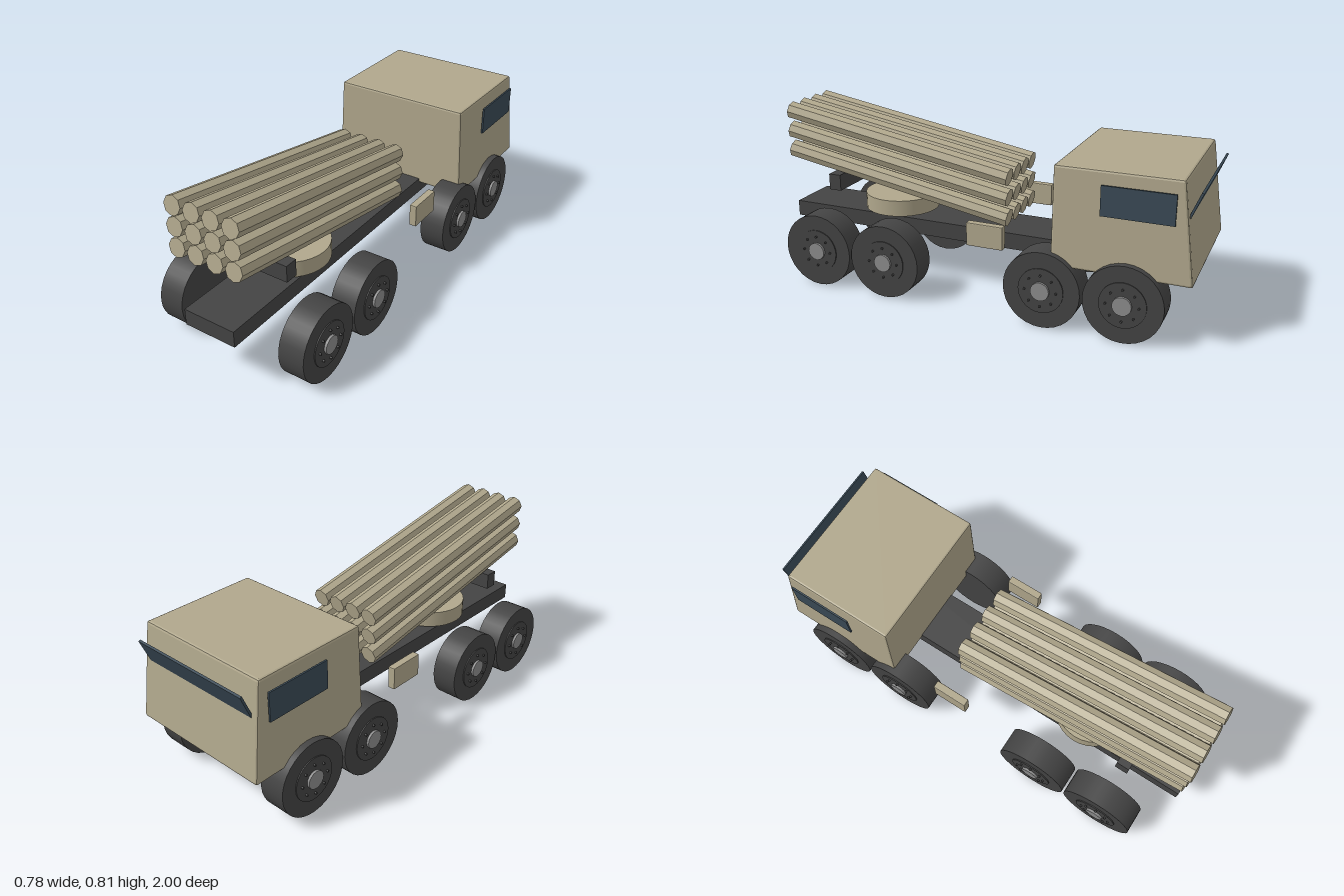
import * as THREE from 'three';
import { RoundedBoxGeometry } from 'three/addons/geometries/RoundedBoxGeometry.js';

const mat = (color, flatShading = false) => {
  const m = new THREE.MeshStandardMaterial({ color });
  m.flatShading = flatShading;
  return m;
};

export function createModel() {
  const model = new THREE.Group();
  model.name = 'rocketTruck';
  const tan = mat(0xb0a78c), tanFlat = mat(0xb0a78c, true);
  const dark = mat(0x444444), glass = mat(0x3a4a56), metal = mat(0x8c8c8c);

  const add = (name, geo, material, x, y, z, parent = model) => {
    const mesh = new THREE.Mesh(geo, material);
    mesh.name = name;
    mesh.position.set(x, y, z);
    parent.add(mesh);
    return mesh;
  };
  const box = (w, h, d) => new THREE.BoxGeometry(w, h, d);
  // cylinder lying along x
  const disc = (r, w, n = 32) => new THREE.CylinderGeometry(r, r, w, n).rotateZ(-Math.PI / 2);

  // chassis beam
  add('chassis', box(0.25, 0.075, 1.85), dark, 0, 0.2625, 0.075);

  // cab: soft-edged box, narrower at the top, with a raked nose
  const H = 0.432, D = 0.59;
  const cabGeo = new RoundedBoxGeometry(0.69, H, D, 1, 0.01);
  const p = cabGeo.attributes.position;
  for (let i = 0; i < p.count; i++) {
    const up = p.getY(i) / H + 0.5;
    const nose = 0.5 - p.getZ(i) / D;
    p.setX(i, p.getX(i) * (1 - 0.05 * up));
    p.setZ(i, p.getZ(i) + 0.06 * up * nose);
  }
  cabGeo.computeVertexNormals();
  add('cab', cabGeo, tanFlat, 0, 0.494, -0.695);

  // windows: the windscreen leans out at its upper edge
  const screen = add('windscreen', box(0.6, 0.13, 0.01), glass, 0, 0.597, -0.967);
  screen.rotation.x = -0.39;
  for (const s of [1, -1]) {
    add('sideWindow', box(0.008, 0.128, 0.3), glass, s * 0.346, 0.591, -0.755);
    add('sideLocker', new RoundedBoxGeometry(0.035, 0.105, 0.168, 1, 0.004), tanFlat,
      s * 0.3125, 0.3525, -0.096);
  }

  // four axles of wheels, built facing +x and turned for the other side
  for (const z of [0.728, 0.378, -0.372, -0.722]) {
    for (const s of [1, -1]) {
      const wheel = new THREE.Group();
      wheel.name = 'wheel';
      wheel.position.set(s * 0.3125, 0.17, z);
      if (s < 0) wheel.rotation.y = Math.PI;
      model.add(wheel);
      add('tyre', disc(0.17, 0.12), dark, 0, 0, 0, wheel);
      add('rim', disc(0.1, 0.02), dark, 0.055, 0, 0, wheel);
      add('hub', disc(0.041, 0.03, 16), metal, 0.061, 0, 0, wheel);
      for (let i = 0; i < 8; i++) {
        const a = i * Math.PI / 4;
        add('wheelNut', disc(0.005, 0.012, 6), dark,
          0.068, 0.07 * Math.sin(a), 0.07 * Math.cos(a), wheel);
      }
    }
  }

  // turntable and front support of the launcher
  add('turntable', new THREE.CylinderGeometry(0.175, 0.175, 0.075, 32), tan, 0, 0.3505, 0.477);
  add('launcherSupport', box(0.4, 0.076, 0.06), dark, 0, 0.4515, 0.728);

  // launch tubes, four columns by three rows, muzzles raised
  const launcher = new THREE.Group();
  launcher.name = 'launcher';
  model.add(launcher);
  const tubeGeo = new THREE.CylinderGeometry(0.042, 0.042, 1.137, 8).rotateX(Math.PI / 2);
  for (let row = 0; row < 3; row++) {
    for (let col = 0; col < 4; col++) {
      const tube = add('launchTube', tubeGeo, tanFlat,
        (col - 1.5) * 0.0935, 0.478 + row * 0.094, 0.425, launcher);
      tube.rotation.x = -Math.PI / 18;
    }
  }
  return model;
}
